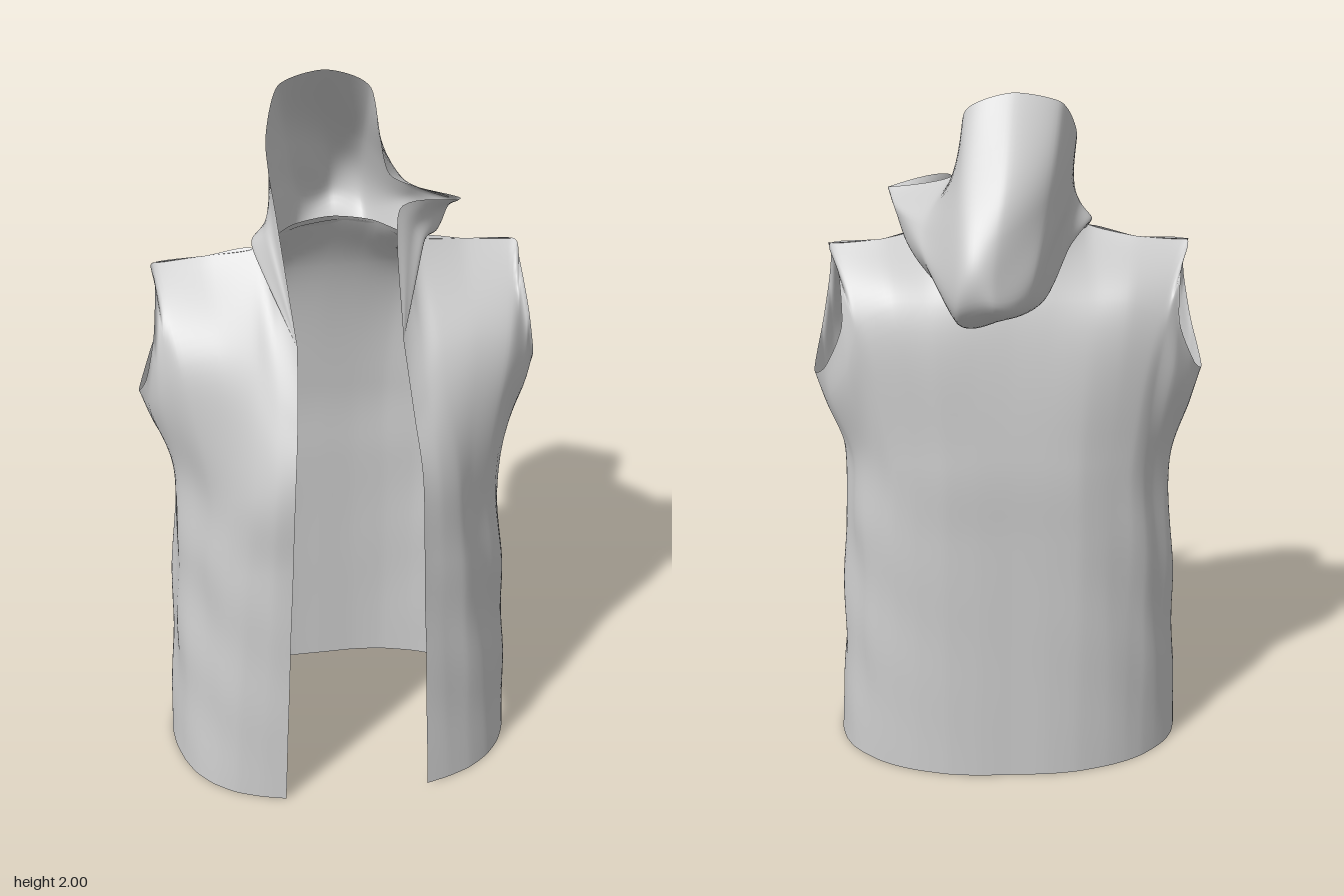
import * as THREE from 'three';

const material = new THREE.MeshStandardMaterial({ color: 0xcccccc, side: THREE.DoubleSide });
const vec = (p) => new THREE.Vector3(...p);

// Smooth sheet through rows of control points (all rows have equal length)
function sheet(name, rows, nu, nv, adjust) {
  const across = rows.map((row) => new THREE.CatmullRomCurve3(row.map(vec), false, 'catmullrom', 0.35));
  const position = [], index = [];
  const columns = [];
  for (let i = 0; i <= nu; i++) {
    columns.push(new THREE.CatmullRomCurve3(across.map((c) => c.getPoint(i / nu))));
  }
  for (let j = 0; j <= nv; j++) {
    for (let i = 0; i <= nu; i++) {
      const p = columns[i].getPoint(j / nv);
      adjust(p, i / nu, j / nv);
      position.push(p.x, p.y, p.z);
      if (i < nu && j < nv) {
        const a = j * (nu + 1) + i, b = a + nu + 1;
        index.push(a, a + 1, b + 1, a, b + 1, b);
      }
    }
  }
  const geometry = new THREE.BufferGeometry();
  geometry.setAttribute('position', new THREE.Float32BufferAttribute(position, 3));
  geometry.setIndex(index);
  geometry.computeVertexNormals();
  const mesh = new THREE.Mesh(geometry, material);
  mesh.name = name;
  return mesh;
}

// Left front panel, from the opening to the side seam: hem, waist, chest, neck + shoulder + armhole
const front = [
  [[.21, 0, .435], [.28, 0, .415], [.35, 0, .385], [.41, 0, .34], [.455, 0, .285], [.485, 0, .22], [.505, 0, .14], [.51, 0, .06], [.495, 0, -.01]],
  [[.17, 1.07, .435], [.22, 1.05, .42], [.28, 1.02, .385], [.33, .99, .335], [.385, .97, .275], [.425, .95, .215], [.455, .94, .15], [.465, .93, .07], [.46, .93, 0]],
  [[.155, 1.22, .375], [.2, 1.27, .33], [.25, 1.34, .28], [.34, 1.36, .25], [.44, 1.34, .23], [.47, 1.29, .215], [.5, 1.22, .18], [.52, 1.14, .11], [.52, 1.08, .03]],
  [[.14, 1.4, .28], [.18, 1.5, .18], [.22, 1.59, .06], [.35, 1.565, .03], [.49, 1.555, .03], [.49, 1.53, .1], [.505, 1.41, .17], [.53, 1.27, .15], [.55, 1.18, .04]],
];

// Left half of the back, from the side seam to the centre, same four levels
const back = [
  [[.47, 0, -.06], [.435, 0, -.1], [.39, 0, -.14], [.34, 0, -.17], [.28, 0, -.195], [.19, 0, -.22], [.1, 0, -.23], [0, 0, -.23]],
  [[.445, .95, -.055], [.41, .97, -.1], [.375, .98, -.135], [.335, 1, -.165], [.27, 1, -.19], [.19, 1, -.21], [.1, 1, -.215], [0, 1, -.215]],
  [[.5, 1.13, -.06], [.45, 1.23, -.125], [.42, 1.34, -.135], [.4, 1.38, -.135], [.32, 1.42, -.145], [.22, 1.42, -.15], [.1, 1.42, -.155], [0, 1.42, -.155]],
  [[.51, 1.23, -.065], [.46, 1.36, -.105], [.465, 1.5, -.065], [.49, 1.555, .03], [.35, 1.565, .03], [.22, 1.59, .06], [.11, 1.61, -.03], [0, 1.62, -.05]],
];

// Hood from the right lapel over the back to the left flap:
// neckline, hanging underside, back bulge, upper back, face rim
const hood = [
  [[-.215, 1.575, .07], [-.17, 1.585, 0], [-.09, 1.6, -.04], [.03, 1.61, -.05], [.12, 1.6, -.03], [.16, 1.585, 0], [.2, 1.575, .05], [.21, 1.575, .08]],
  [[-.23, 1.61, .07], [-.16, 1.56, -.06], [-.09, 1.47, -.18], [.05, 1.42, -.24], [.14, 1.43, -.22], [.19, 1.48, -.14], [.23, 1.53, -.03], [.22, 1.58, .1]],
  [[-.2, 1.64, .09], [-.14, 1.65, -.12], [-.05, 1.54, -.34], [.06, 1.52, -.44], [.15, 1.5, -.4], [.23, 1.56, -.2], [.28, 1.58, -.02], [.22, 1.6, .12]],
  [[-.18, 1.67, .11], [-.16, 1.76, -.08], [-.09, 1.74, -.27], [.04, 1.71, -.37], [.14, 1.68, -.35], [.23, 1.66, -.15], [.31, 1.65, .01], [.19, 1.65, .13]],
  [[-.17, 1.7, .13], [-.18, 1.86, 0], [-.13, 1.97, -.12], [0, 2, -.14], [.12, 1.95, -.12], [.15, 1.75, 0], [.33, 1.7, .07], [.15, 1.71, .14]],
];

// Point-by-point blend of two rows
function blend(a, b, t) {
  return a.map((p, i) => p.map((v, k) => v + (b[i][k] - v) * t));
}

// Soft cloth folds on the torso, fading out at hem and chest
function bodyFolds(p, u) {
  const fade = Math.sin(Math.PI * Math.min(1, p.y / 1.3));
  const side = Math.min(1, Math.abs(p.x) / 0.45);
  const fold = 0.008 * Math.sin(u * 75 + p.y * 4) + 0.006 * Math.sin(p.y * 17 + u * 23);
  const k = 1 + fade * fold * side * 1.4;
  p.x *= k;
  p.z *= k;
}

// Crumples on the hood, none along the neckline or the rim
function hoodFolds(p, u, v) {
  const d = 0.012 * Math.sin(Math.PI * v) * Math.sin(Math.PI * u);
  p.y += d * Math.sin(u * 31 + v * 9);
  p.z += d * Math.sin(u * 17 - v * 14);
}

export function createModel() {
  const model = new THREE.Group();
  model.name = 'hoodedVest';

  // Torso: left half followed by its mirror image, open at the front
  const [hem, waist, chest, top] = front.map((row, k) => {
    const half = [...row, ...back[k]];
    const mirrored = half.slice(0, -1).reverse().map(([x, y, z]) => [-x, y, z]);
    return [...half, ...mirrored];
  });
  // Extra levels keep the skirt straight up to the waist
  const bodyRows = [hem, blend(hem, waist, 0.4), blend(hem, waist, 0.75), waist, chest, top];
  model.add(sheet('vestBody', bodyRows, 192, 60, bodyFolds));

  // Hood: both ends run down to the top of the front opening
  const hoodRows = hood.map((row) => [[-.14, 1.4, .28], ...row, [.14, 1.4, .28]].reverse());
  model.add(sheet('hood', hoodRows, 90, 40, hoodFolds));

  return model;
}
